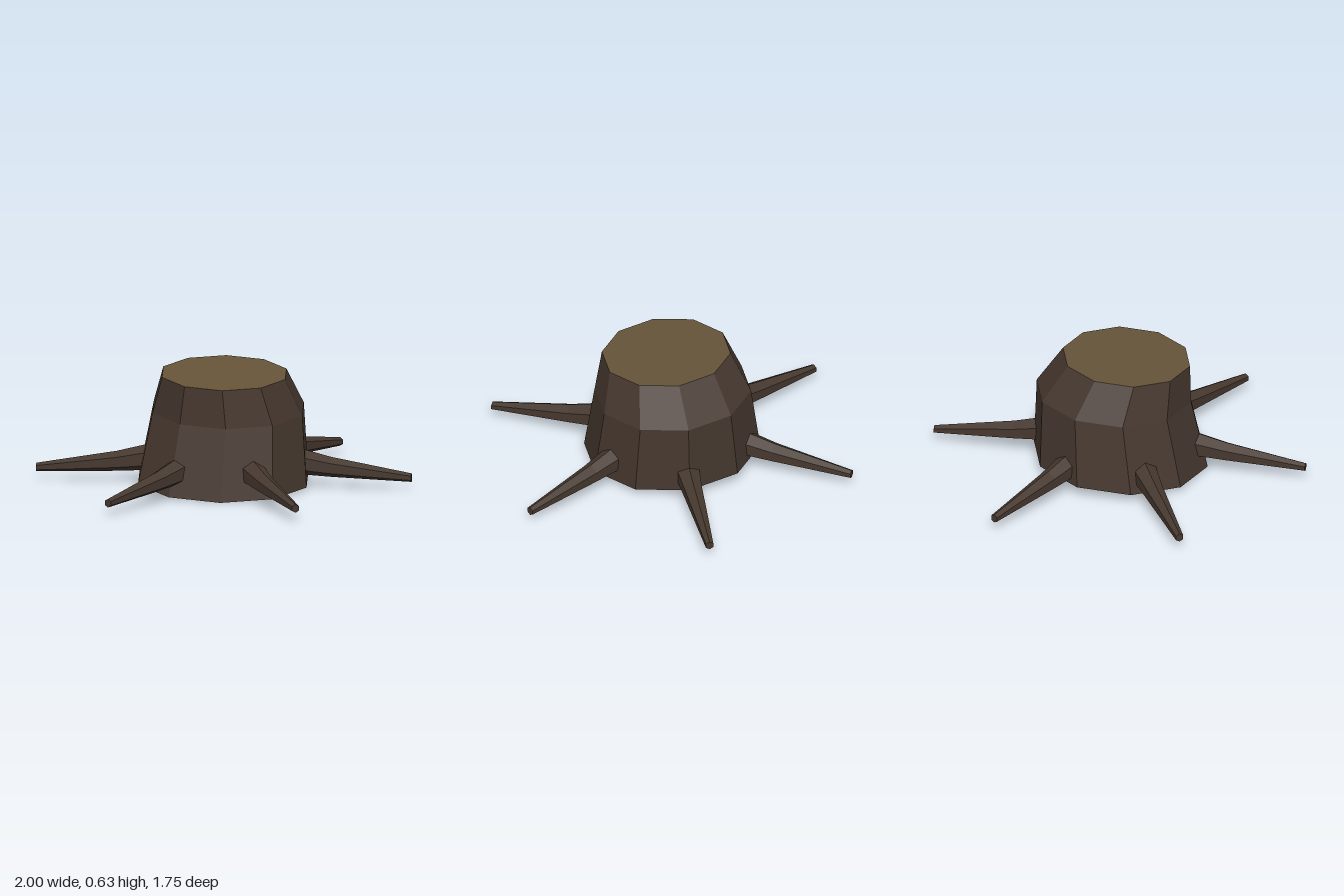
import * as THREE from 'three';

// Faceted column whose rows (top to bottom) are placed by a rule
function column(sides, rows, place) {
  const geo = new THREE.CylinderGeometry(1, 1, rows.length - 1, sides, rows.length - 1, false, Math.PI / 2);
  const pos = geo.attributes.position;
  for (let i = 0; i < pos.count; i++) {
    const row = rows[Math.round((rows.length - 1) / 2 - pos.getY(i))];
    pos.setXYZ(i, ...place(row, pos.getX(i), pos.getZ(i)));
  }
  geo.computeVertexNormals();
  return geo;
}

export function createModel() {
  const bark = new THREE.MeshStandardMaterial({ color: 0x46382f, flatShading: true });
  bark.name = 'bark';
  const wood = new THREE.MeshStandardMaterial({ color: 0x665439, flatShading: true });
  wood.name = 'cut wood';

  const group = new THREE.Group();
  group.name = 'treeStump';

  // Trunk: ten sides, every ring leaning a little
  const rings = [
    { x: -0.03, y: 0.613, z: 0.025, r: 0.342 },
    { x: 0.033, y: 0.408, z: 0.002, r: 0.416 },
    { x: -0.005, y: 0.033, z: -0.002, r: 0.468 },
  ];
  const trunkGeo = column(10, rings, (c, px, pz) => {
    const x = c.x + c.r * px, z = c.z + c.r * pz;
    return [x, c.y + 0.05 * (x - z), z];
  });
  const trunk = new THREE.Mesh(trunkGeo, [bark, wood, wood]);
  trunk.name = 'trunk';
  group.add(trunk);

  // Roots: six-sided, tapering outwards, tip first
  const stations = [
    { d: 1.0, y: 0.066, r: 0.023 },
    { d: 0.57, y: 0.112, r: 0.054 },
    { d: 0.36, y: 0.145, r: 0.075 },
  ];
  const rootGeo = column(6, stations, (s, px, pz) => [s.d, s.y - s.r * px, s.r * pz]);
  for (let i = 0; i < 6; i++) {
    const root = new THREE.Mesh(rootGeo, bark);
    root.name = `root${i + 1}`;
    root.rotation.y = (i * Math.PI) / 3;
    group.add(root);
  }
  return group;
}
